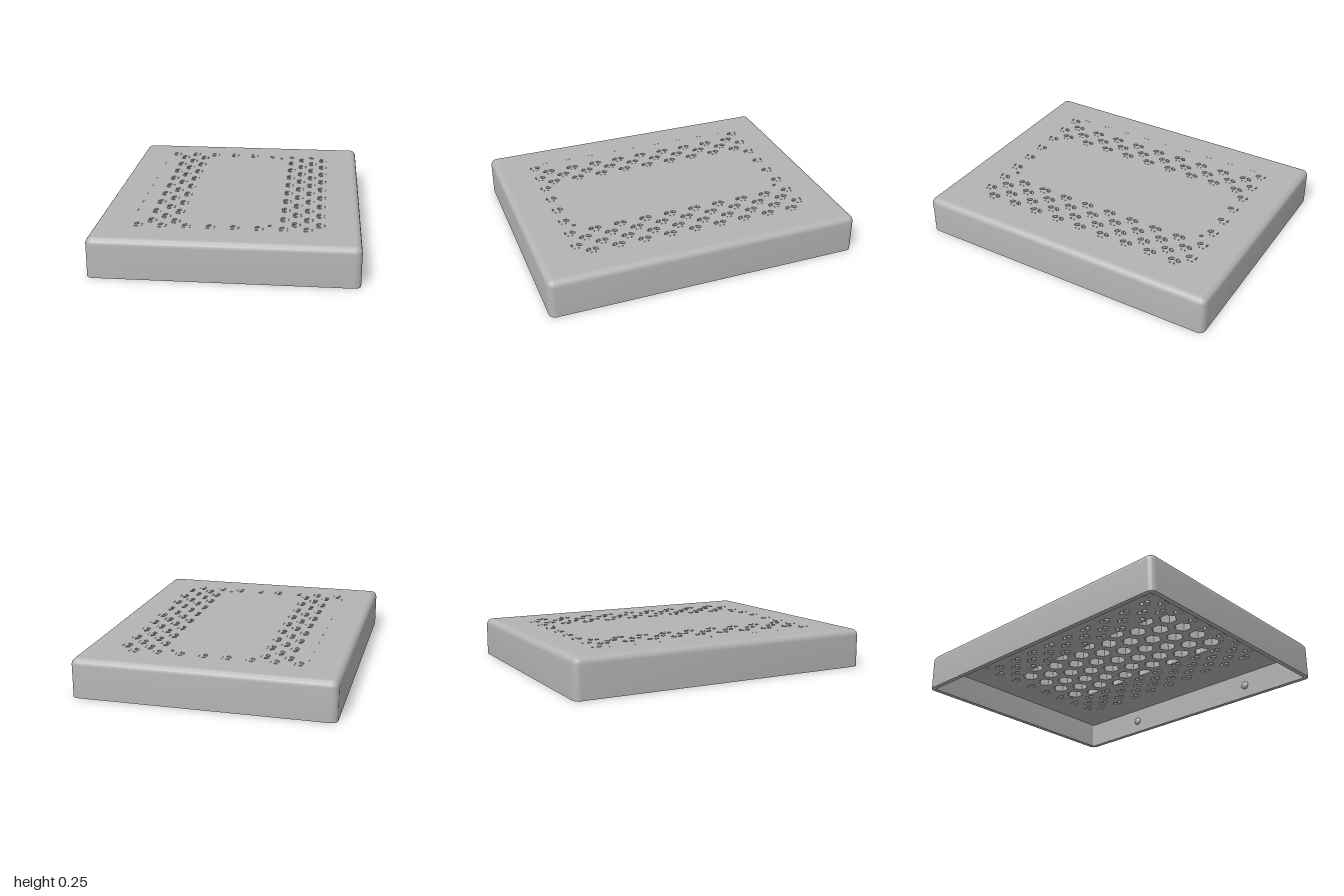
import * as THREE from 'three';
import { toCreasedNormals } from 'three/addons/utils/BufferGeometryUtils.js';

const W = 0.8, D = 1, TOP = 0.245, UNDER = 0.175, R = 0.04, WALL = 0.03;

// Rounded rectangle, moved inwards by d
function ring(d) {
  const r = Math.max(R - d, 0), pts = [];
  [[1, 1], [-1, 1], [-1, -1], [1, -1]].forEach(([sx, sy], q) => {
    for (let i = 0; i <= 6; i++) {
      const a = (q + i / 6) * Math.PI / 2;
      pts.push([sx * (W - d - r) + r * Math.cos(a), sy * (D - d - r) + r * Math.sin(a)]);
    }
  });
  return pts;
}

// Outer wall, rounded top edge, bottom rim and inner wall
function rimGeometry() {
  const profile = [];
  for (let i = 0; i <= 6; i++) {
    const a = i / 6 * Math.PI / 2;
    profile.push([R * (1 - Math.sin(a)), TOP - R * (1 - Math.cos(a))]);
  }
  profile.push([0, 0], [WALL, 0], [WALL, UNDER], [R, UNDER]);
  const pos = [], index = [];
  profile.forEach(([d, y]) => ring(d).forEach(([x, s]) => pos.push(x, y, -s)));
  const n = ring(0).length;
  for (let i = 0; i < profile.length - 1; i++) {
    for (let j = 0; j < n; j++) {
      const k = (j + 1) % n, a = i * n + j, b = i * n + k;
      index.push(a, a + n, b + n, a, b + n, b);
    }
  }
  const g = new THREE.BufferGeometry();
  g.setAttribute('position', new THREE.Float32BufferAttribute(pos, 3));
  g.setIndex(index);
  return toCreasedNormals(g, 0.6);
}

const path = pts => new THREE.Path(pts.map(([x, z]) => new THREE.Vector2(x, -z)));

function polygon(x, z, r, n) {
  return Array.from({ length: n }, (_, i) => {
    const a = (i / n) * Math.PI * 2 + Math.PI / 2;
    return [x + r * Math.cos(a), z + r * Math.sin(a)];
  });
}

// Vent openings: mirrored leaf pairs with pinholes beside them
const LEAF = [[0.012, -0.018], [0.015, 0], [0.002, 0.016], [-0.014, 0.012], [-0.013, -0.003], [0, -0.017]];
const SLIVER = [[-0.014, 0], [-0.008, -0.005], [0.008, -0.005], [0.014, 0], [0.008, 0.004], [-0.008, 0.004]];

function ventHoles() {
  const holes = [];
  const add = (pts, x, z, s) => holes.push(path(pts.map(([px, pz]) => [x + px, z - s * pz])));
  const pair = (x, z, end) => {
    for (const s of [-1, 1]) {
      add(end === s ? SLIVER : LEAF, x, z + s * 0.022, s);
      holes.push(path(polygon(x + 0.036, z + s * 0.013, 0.005, 5)));
    }
  };
  for (let k = 0; k < 8; k++) {
    const xa = -0.545 + k * 0.1454, xb = xa + 0.0727;
    const side = x => Math.abs(x) > 0.31 && x > -0.5;
    for (let m = 0; m < 10; m++) {
      const z = -0.757 + m / 6, end = m === 0 ? -1 : m === 9 ? 1 : 0;
      if (end || side(xa)) pair(xa, z, end);
      if (m < 9 && side(xb)) pair(xb, z + 1 / 12, 0);
    }
    // Pinholes along the outer left edge
    if (k === 0) for (let m = 0; m < 9; m++) {
      for (const s of [-1, 1]) holes.push(path(polygon(-0.582, -0.674 + m / 6 + s * 0.013, 0.004, 5)));
    }
  }
  for (const s of [-1, 1]) add(LEAF.map(([x, z]) => [x * 0.7, z * 0.7]), 0.254, -0.007 + s * 0.697, -s);
  return holes;
}

// Blind hexagonal pockets under the closed middle, trimmed at its sides
function pocketHoles() {
  const holes = [], p = 0.1455;
  for (let m = -5; m <= 5; m++) {
    const odd = Math.abs(m) % 2;
    for (let k = -2; k <= 2 - odd; k++) {
      const x = (k + odd / 2) * p, z = m * p * Math.sqrt(3) / 2;
      if (Math.abs(x) > 0.25 && Math.abs(z) > 0.55) continue;
      holes.push(path(polygon(x, z, 0.056, 6)
        .map(([px, pz]) => [THREE.MathUtils.clamp(px, -0.3, 0.3), pz])));
    }
  }
  return holes;
}

// Horizontal slab between two heights, pierced by holes
function slab(y0, y1, holes) {
  const shape = new THREE.Shape();
  const w = W - R, d = D - R;
  shape.moveTo(-w, -d).lineTo(w, -d).lineTo(w, d).lineTo(-w, d).closePath();
  shape.holes = holes;
  const g = new THREE.ExtrudeGeometry(shape, { depth: y1 - y0, bevelEnabled: false, curveSegments: 1 });
  return g.rotateX(-Math.PI / 2).translate(0, y0, 0);
}

export function createModel() {
  const group = new THREE.Group();
  const grey = new THREE.MeshStandardMaterial({ color: 0xb4b4b4 });
  grey.name = 'plain grey';
  const add = (name, geometry) => {
    const mesh = new THREE.Mesh(geometry, grey);
    mesh.name = name;
    group.add(mesh);
    return mesh;
  };

  add('rim', rimGeometry());
  add('topPanel', slab(0.233, TOP, ventHoles()));
  add('pocketPanel', slab(UNDER, 0.233, [...ventHoles(), ...pocketHoles()]));

  // Snap bumps on the inner side walls
  for (const sx of [-1, 1]) {
    for (const z of [-0.5, 0.5]) {
      const bump = add('snapBump', new THREE.SphereGeometry(0.027, 16, 12));
      bump.scale.x = 0.7;
      bump.position.set(sx * (W - WALL), 0.085, z);
    }
  }
  return group;
}
